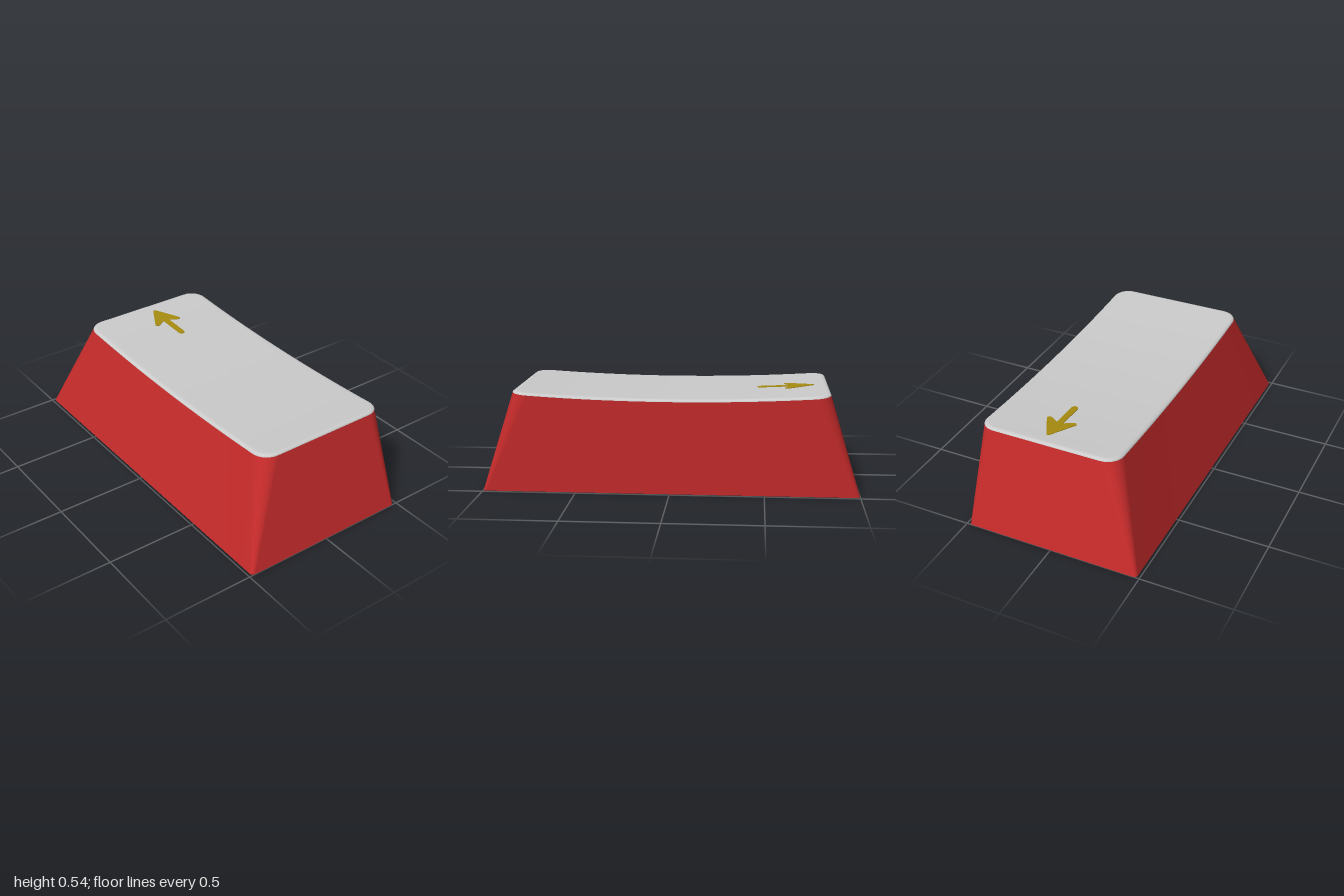
import * as THREE from 'three';
import { toCreasedNormals } from 'three/addons/utils/BufferGeometryUtils.js';

const red = new THREE.MeshStandardMaterial({ color: 0xc42a2a });
const grey = new THREE.MeshStandardMaterial({ color: 0xcccccc });
const gold = new THREE.MeshStandardMaterial({ color: 0xa88c10 });

const TOP = { hx: 0.84, z0: -0.485, z1: 0.3, r: 0.09 };
const BASE = { hx: 1, z0: -0.485, z1: 0.485, r: 0.02 };
const MOUTH = { hx: 0.915, z0: -0.405, z1: 0.405, r: 0.005 };
const CEILING = { hx: 0.785, z0: -0.405, z1: 0.25, r: 0.005 };
const CEILING_Y = 0.43;

// Height of the dished top, curved across x
const dish = (x) => 0.508 + 0.03 * (x / TOP.hx) ** 2;

// Closed rounded-rectangle loop; long sides are subdivided so they can follow the dish
function ring({ hx, z0, z1, r }, height, inset = 0, scale = 1) {
  const X = hx - inset, A = z0 + inset, B = z1 - inset, R = Math.max(r - inset, 0.002);
  const mid = (A + B) / 2, corners = [[1, B], [-1, B], [-1, A], [1, A]], pts = [];
  const add = (x, z) => {
    x *= scale;
    z = mid + (z - mid) * scale;
    pts.push([x, typeof height === 'function' ? height(x) : height, z]);
  };
  corners.forEach(([sx, zc], k) => {
    const cx = sx * (X - R), cz = zc === B ? B - R : A + R;
    for (let i = 0; i <= 8; i++) {
      const t = (k + i / 8) * Math.PI / 2;
      add(cx + R * Math.cos(t), cz + R * Math.sin(t));
    }
    if (k % 2 === 0) for (let i = 1; i < 24; i++) add(cx * (1 - i / 12), zc);
  });
  return pts;
}

// Smooth skin over a list of loops
function loft(rings) {
  const n = rings[0].length, index = [];
  for (let i = 0; i < rings.length - 1; i++) {
    for (let j = 0; j < n; j++) {
      const a = i * n + j, b = i * n + (j + 1) % n;
      index.push(a, a + n, b, b, a + n, b + n);
    }
  }
  const g = new THREE.BufferGeometry();
  g.setAttribute('position', new THREE.Float32BufferAttribute(rings.flat(2), 3));
  g.setIndex(index);
  g.computeVertexNormals();
  return g;
}

function part(parent, name, geometry, material) {
  const m = new THREE.Mesh(geometry, material);
  m.name = name;
  parent.add(m);
  return m;
}

export function createModel() {
  const model = new THREE.Group();
  model.name = 'keycap';
  const edgeDrop = 0.013;

  // Hollow red skirt: ceiling, inner walls, rim and outer walls
  const body = new THREE.Group();
  body.name = 'body';
  model.add(body);
  part(body, 'ceiling', loft([ring(CEILING, CEILING_Y, 0, 0), ring(CEILING, CEILING_Y)]), red);
  part(body, 'innerWalls', loft([ring(CEILING, CEILING_Y), ring(MOUTH, 0)]), red);
  part(body, 'bottomRim', loft([ring(MOUTH, 0), ring(BASE, 0)]), red);
  part(body, 'outerWalls', loft([ring(BASE, 0), ring(TOP, (x) => dish(x) - edgeDrop)]), red);

  // Grey dished top with a rounded edge
  const topRings = [];
  for (let i = 0; i <= 6; i++) {
    const t = i / 6 * Math.PI / 2;
    topRings.push(ring(TOP, (x) => dish(x) - edgeDrop * (1 - Math.sin(t)), 0.025 * (1 - Math.cos(t))));
  }
  for (let i = 11; i >= 0; i--) topRings.push(ring(TOP, dish, 0.025, i / 12));
  part(model, 'topPlate', loft(topRings), grey);

  // Arrow pointing to -x, laid on the dish
  const arrow = new THREE.Shape();
  arrow.moveTo(-0.473, -0.018);
  arrow.absarc(-0.473, 0, 0.018, -Math.PI / 2, Math.PI / 2, false);
  arrow.lineTo(-0.634, 0.018);
  arrow.lineTo(-0.606, 0.062);
  arrow.quadraticCurveTo(-0.598, 0.085, -0.62, 0.085);
  arrow.lineTo(-0.757, 0.01);
  arrow.quadraticCurveTo(-0.771, 0, -0.757, -0.01);
  arrow.lineTo(-0.62, -0.085);
  arrow.quadraticCurveTo(-0.598, -0.085, -0.606, -0.062);
  arrow.lineTo(-0.634, -0.018);
  arrow.closePath();
  const arrowGeo = new THREE.ExtrudeGeometry(arrow, { depth: 0.003, bevelEnabled: false, curveSegments: 10 });
  arrowGeo.rotateX(-Math.PI / 2).translate(0, 0, -0.12);
  const p = arrowGeo.attributes.position;
  for (let i = 0; i < p.count; i++) p.setY(i, p.getY(i) + dish(p.getX(i)));
  arrowGeo.computeVertexNormals();
  part(model, 'arrow', arrowGeo, gold);

  // Round stem with a cross-shaped socket
  const stem = new THREE.Group();
  stem.name = 'stem';
  model.add(stem);
  const R = 0.16, L = 0.12, W = 0.034, stemY = 0.054, socketY = 0.25;
  const disc = new THREE.Shape().absarc(0, 0, R, 0, Math.PI * 2, false);
  const cross = [];
  for (let k = 0; k < 4; k++) {
    const origin = new THREE.Vector2();
    for (const [x, y] of [[L, -W], [L, W], [W, W]]) {
      cross.push(new THREE.Vector2(x, y).rotateAround(origin, k * Math.PI / 2));
    }
  }
  disc.holes.push(new THREE.Path(cross.reverse()));
  const socket = new THREE.ExtrudeGeometry(disc, { depth: socketY - stemY, bevelEnabled: false, curveSegments: 48 });
  socket.rotateX(-Math.PI / 2).translate(0, stemY, 0);
  part(stem, 'stemSocket', toCreasedNormals(socket, 0.6), red);
  const core = new THREE.CylinderGeometry(R, R, CEILING_Y - socketY, 48);
  part(stem, 'stemCore', core, red).position.y = (CEILING_Y + socketY) / 2;

  return model;
}
